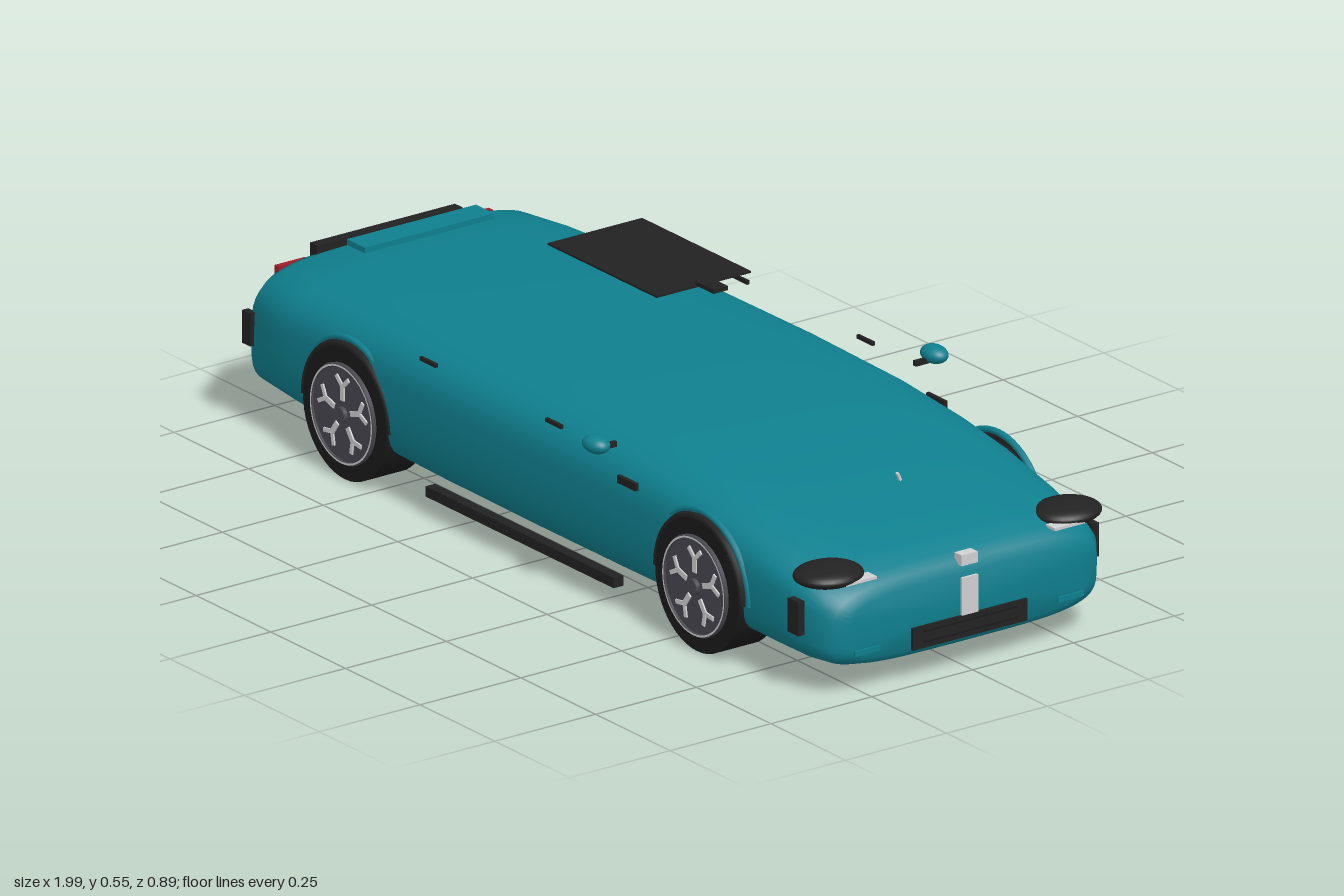
import * as THREE from 'three';
import { toCreasedNormals } from 'three/addons/utils/BufferGeometryUtils.js';

const mat = (name, color) => {
  const m = new THREE.MeshStandardMaterial({ color });
  m.name = name;
  return m;
};

export function createModel() {
  const paint = mat('teal paint', 0x0f7f8e);
  const black = mat('black trim', 0x222222);
  const rubber = mat('tyre rubber', 0x1a1a1a);
  const grey = mat('wheel grey', 0x47474f);
  const silver = mat('silver', 0xcfd0d2);
  const red = mat('tail red', 0xa01c28);

  const car = new THREE.Group();
  car.name = 'car';

  const add = (name, geo, material, x, y, z, parent = car) => {
    const m = new THREE.Mesh(geo, material);
    m.name = name;
    m.position.set(x, y, z);
    parent.add(m);
    return m;
  };
  const box = (name, material, sx, sy, sz, x, y, z, parent) =>
    add(name, new THREE.BoxGeometry(sx, sy, sz), material, x, y, z, parent);
  const ball = (name, material, rx, ry, rz, x, y, z) =>
    add(name, new THREE.SphereGeometry(1, 28, 18).scale(rx, ry, rz), material, x, y, z);

  add('body', bodyGeometry(), paint, 0, 0, 0);

  // Floating roof panel with its sensor block
  box('roofPanel', black, 0.365, 0.004, 0.234, -0.083, 0.543, 0);
  box('roofSensor', black, 0.06, 0.009, 0.036, 0.126, 0.549, 0);

  // Nose: grille, centre plates, bonnet ornament
  box('frontGrille', black, 0.03, 0.047, 0.284, 0.977, 0.094, 0);
  for (const y of [0.084, 0.107]) box('grilleBar', rubber, 0.006, 0.003, 0.23, 0.993, y, 0);
  box('frontPlate', silver, 0.02, 0.081, 0.04, 0.982, 0.157, 0);
  box('frontBadge', silver, 0.024, 0.023, 0.04, 0.978, 0.234, 0);
  const ornament = box('bonnetOrnament', silver, 0.008, 0.018, 0.005, 0.752, 0.336, 0);
  ornament.rotation.x = 0.4;

  // Tail: light bar, spoiler plate, rear plate, diffuser
  box('tailSurround', black, 0.025, 0.034, 0.36, -0.965, 0.322, 0);
  box('tailLight', red, 0.02, 0.022, 0.335, -0.975, 0.324, 0);
  box('spoilerPlate', paint, 0.06, 0.012, 0.32, -0.85, 0.366, 0);
  box('rearPlate', silver, 0.02, 0.09, 0.04, -0.982, 0.165, 0);
  box('rearDiffuser', black, 0.06, 0.014, 0.3, -0.945, 0.075, 0);

  // Parts repeated on both sides
  for (const s of [1, -1]) {
    ball('headlight', black, 0.065, 0.022, 0.075, 0.915, 0.247, s * 0.295);
    box('headlightStrip', silver, 0.03, 0.006, 0.075, 0.962, 0.241, s * 0.258);
    box('foglight', paint, 0.02, 0.011, 0.063, 0.98, 0.095, s * 0.252);
    box('frontVent', black, 0.035, 0.072, 0.016, 0.902, 0.168, s * 0.365);
    box('rearVent', black, 0.028, 0.07, 0.016, -0.934, 0.213, s * 0.362);
    box('tailLightEnd', red, 0.014, 0.02, 0.075, -0.973, 0.3, s * 0.228);
    box('rearReflector', red, 0.02, 0.014, 0.07, -0.973, 0.095, s * 0.25);

    ball('mirror', paint, 0.034, 0.019, 0.025, 0.305, 0.363, s * 0.419);
    box('mirrorStalk', black, 0.01, 0.011, 0.035, 0.305, 0.353, s * 0.388);
    box('fenderVent', black, 0.062, 0.016, 0.008, 0.362, 0.289, s * 0.383);
    for (const x of [-0.3, 0.12]) box('doorHandle', black, 0.053, 0.008, 0.007, x, 0.342, s * 0.386);
    box('sideSkirt', black, 0.63, 0.022, 0.024, -0.015, 0.053, s * 0.36);

    for (const x of [-0.59, 0.59]) {
      const wheel = makeWheel({ add, box, rubber, black, grey, silver, paint });
      wheel.position.set(x, 0.14, 0);
      if (s < 0) wheel.rotation.y = Math.PI;
      car.add(wheel);
    }
  }
  return car;
}

// Rounded shell lofted through cross-sections along x
function bodyGeometry() {
  // x, half width, bottom, top
  const stations = [
    [-0.978, 0.285, 0.085, 0.295], [-0.97, 0.32, 0.07, 0.318], [-0.93, 0.36, 0.062, 0.333],
    [-0.8, 0.37, 0.054, 0.345], [-0.59, 0.375, 0.049, 0.356], [-0.3, 0.382, 0.046, 0.363],
    [0, 0.384, 0.045, 0.365], [0.3, 0.382, 0.045, 0.36], [0.5, 0.376, 0.045, 0.346],
    [0.65, 0.372, 0.045, 0.325], [0.8, 0.366, 0.045, 0.29], [0.9, 0.358, 0.045, 0.262],
    [0.95, 0.345, 0.048, 0.245], [0.975, 0.325, 0.056, 0.228], [0.986, 0.29, 0.07, 0.207],
  ];
  const N = 56, pos = [], idx = [];
  const pw = (v) => Math.sign(v) * Math.sqrt(Math.abs(v)); // superellipse of power 4
  for (const [x, w, lo, hi] of stations) {
    const mid = lo + (hi - lo) * 0.48;
    for (let j = 0; j < N; j++) {
      const a = (j / N) * Math.PI * 2;
      const v = pw(Math.sin(a));
      pos.push(x, mid + v * (v > 0 ? hi - mid : mid - lo), w * pw(Math.cos(a)));
    }
  }
  const last = stations.length - 1;
  for (let i = 0; i < last; i++)
    for (let j = 0; j < N; j++) {
      const k = (j + 1) % N, a = i * N + j, b = i * N + k;
      idx.push(a, a + N, b, b, a + N, b + N);
    }
  // End caps
  for (const i of [0, last]) {
    const [x, , lo, hi] = stations[i], c = pos.length / 3;
    pos.push(x, (lo + hi) / 2, 0);
    for (let j = 0; j < N; j++) {
      const a = i * N + j, b = i * N + ((j + 1) % N);
      if (i) idx.push(c, b, a);
      else idx.push(c, a, b);
    }
  }
  const g = new THREE.BufferGeometry();
  g.setAttribute('position', new THREE.Float32BufferAttribute(pos, 3));
  g.setIndex(idx);
  return toCreasedNormals(g, 1.0);
}

// Wheel facing +z: tyre, rim, split spokes and arch trim
function makeWheel({ add, box, rubber, black, grey, silver, paint }) {
  const wheel = new THREE.Group();
  wheel.name = 'wheel';
  const disc = (name, r, z0, z1, m) =>
    add(name, new THREE.CylinderGeometry(r, r, z1 - z0, 48).rotateX(Math.PI / 2), m, 0, 0, (z0 + z1) / 2, wheel);
  disc('tyre', 0.14, 0.28, 0.38, rubber);
  disc('rim', 0.106, 0.37, 0.384, grey);
  add('rimRing', new THREE.TorusGeometry(0.103, 0.004, 8, 48), grey, 0, 0, 0.385, wheel);
  add('rimEdge', new THREE.RingGeometry(0.1, 0.104, 48), silver, 0, 0, 0.3895, wheel);
  for (let i = 0; i < 5; i++) {
    const spoke = new THREE.Group();
    spoke.name = 'spoke';
    spoke.rotation.z = (i / 5) * Math.PI * 2;
    box('spokeArm', silver, 0.012, 0.034, 0.005, 0, 0.046, 0.385, spoke);
    for (const s of [1, -1]) {
      const fork = box('spokeFork', silver, 0.009, 0.024, 0.005, s * 0.012, 0.07, 0.385, spoke);
      fork.rotation.z = -s * 0.8;
    }
    wheel.add(spoke);
  }
  disc('hub', 0.016, 0.38, 0.394, grey);
  // Arch trim over the upper part of the tyre
  const arch = (r, t) => new THREE.TorusGeometry(r, t, 8, 40, Math.PI);
  add('archLiner', arch(0.143, 0.008), black, 0, 0, 0.373, wheel);
  add('archLip', arch(0.156, 0.007), paint, 0, 0, 0.366, wheel);
  return wheel;
}
